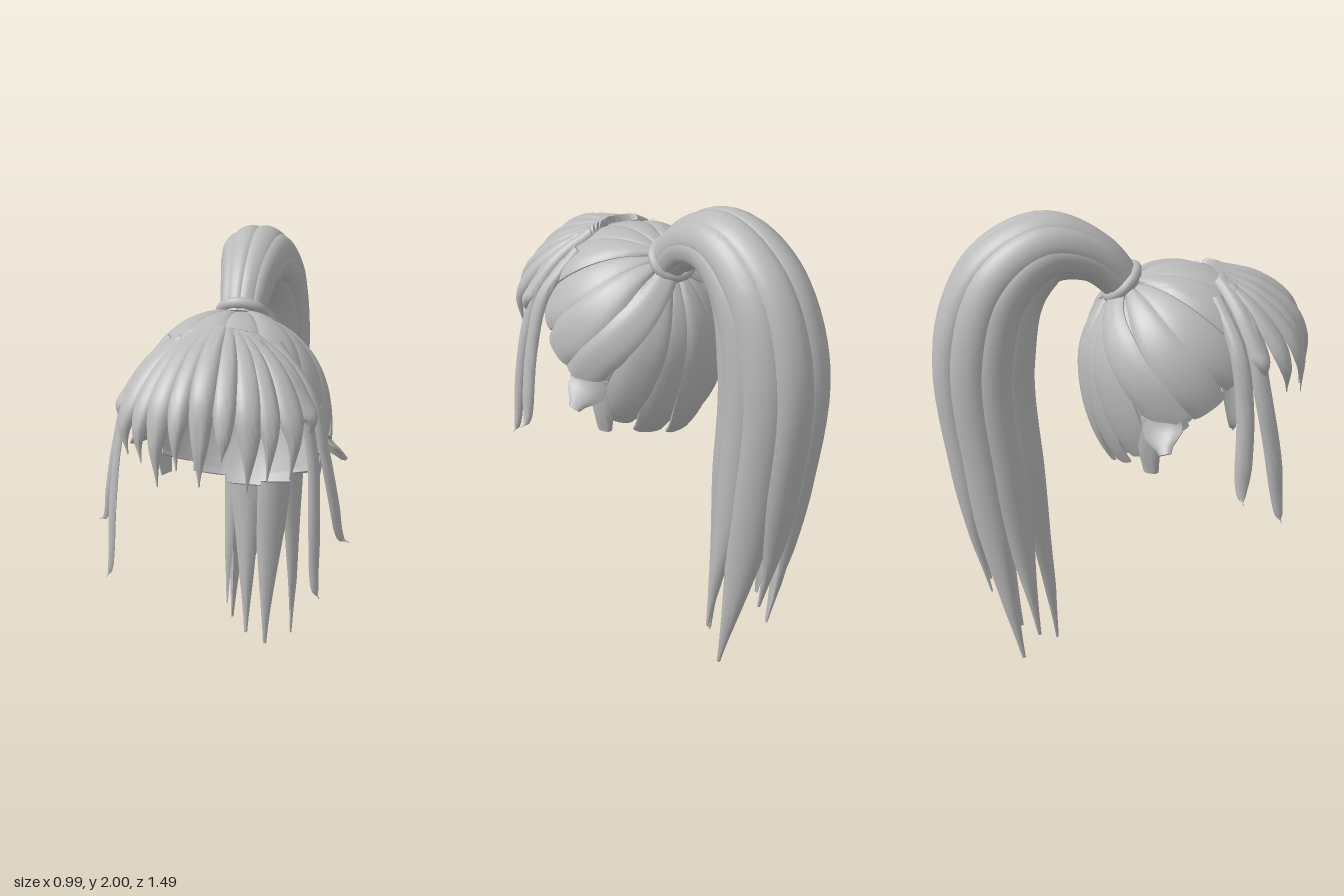
import * as THREE from 'three';
import { toCreasedNormals } from 'three/addons/utils/BufferGeometryUtils.js';

const V = (x, y, z) => new THREE.Vector3(x, y, z);
const lerp = THREE.MathUtils.lerp;
const smooth = THREE.MathUtils.smoothstep;
const wobble = (i) => Math.sin(i * 7.3 + 1.1);

const hair = new THREE.MeshStandardMaterial({ color: 0xbababa, side: THREE.DoubleSide });
hair.name = 'hair grey';

// Sweeps a curved, lens-like section along a path.
// out(p, t): outward direction, half(t): half width, bend: radius of the section's curve
function lock(name, path, out, half, { thick = 0.016, bend = 0.3, steps = 22, across = 8 } = {}) {
  const pos = [], index = [], ring = 2 * (across + 1);
  for (let i = 0; i <= steps; i++) {
    const t = i / steps;
    const p = path(t);
    const tangent = path(Math.min(1, t + 0.01)).sub(path(Math.max(0, t - 0.01))).normalize();
    const o = out(p, t);
    o.addScaledVector(tangent, -o.dot(tangent)).normalize();
    const side = tangent.clone().cross(o);
    const w = half(t);
    const th = Math.min(thick, w * 0.6);
    for (let j = 0; j < ring; j++) {
      const top = j <= across;
      const u = top ? -1 + 2 * j / across : 1 - 2 * (j - across - 1) / across;
      const h = -((u * w) ** 2) / (2 * bend) + (top ? th * (1 - u ** 4) : -th * 0.6);
      const q = p.clone().addScaledVector(side, u * w).addScaledVector(o, h);
      pos.push(q.x, q.y, q.z);
    }
  }
  for (let i = 0; i < steps; i++) for (let j = 0; j < ring; j++) {
    const a = i * ring + j, b = i * ring + (j + 1) % ring;
    index.push(a, b, a + ring, b, b + ring, a + ring);
  }
  const last = steps * ring;
  for (let j = 1; j < ring - 1; j++) {
    index.push(0, j + 1, j, last, last + j, last + j + 1);
  }
  const g = new THREE.BufferGeometry();
  g.setAttribute('position', new THREE.Float32BufferAttribute(pos, 3));
  g.setIndex(index);
  const mesh = new THREE.Mesh(toCreasedNormals(g, 0.7), hair);
  mesh.name = name;
  return mesh;
}

const curve = (points) => {
  const c = new THREE.CatmullRomCurve3(points);
  return (t) => c.getPoint(t);
};

// Head surface, in angles around the root of the ponytail
const C = V(0, 1.38, 0.22);
const T = V(0, 0.83, -0.55).normalize();
const F = V(0, 0.55, 0.83).normalize();
function head(phi, theta, lift = 1) {
  const d = T.clone().multiplyScalar(Math.cos(theta))
    .addScaledVector(F, Math.sin(theta) * Math.cos(phi));
  d.x = Math.sin(theta) * Math.sin(phi);
  return V(d.x * 0.365, d.y * (d.y > 0 ? 0.382 : 0.55), d.z * 0.375).multiplyScalar(lift).add(C);
}
const hemline = (phi) => 1.73 - 0.3 * Math.max(0, Math.cos(phi)) ** 2;
const fromHead = (p) => p.clone().sub(C);

function buildCap() {
  const cap = new THREE.Group();
  cap.name = 'cap';

  // Smooth shell beneath the strands, open below
  const g = new THREE.SphereGeometry(1, 48, 20, 0, Math.PI * 2, 0, 3);
  const uv = g.attributes.uv, pos = g.attributes.position;
  for (let i = 0; i < pos.count; i++) {
    const phi = uv.getX(i) * Math.PI * 2;
    const p = head(phi, (1 - uv.getY(i)) * hemline(phi), 0.97);
    pos.setXYZ(i, p.x, p.y, p.z);
  }
  g.computeVertexNormals();
  const shell = new THREE.Mesh(g, hair);
  shell.name = 'capShell';
  cap.add(shell);

  // Wide combed strands gathered at the tie
  const n = 15;
  for (let i = 0; i < n; i++) {
    const phi = (i + 0.5) / n * Math.PI * 2;
    const end = hemline(phi) + 0.03 + 0.05 * wobble(i);
    const lift = 1 + 0.024 * (i % 2);
    const theta = (t) => lerp(0.12, end, t);
    cap.add(lock('capStrand', (t) => head(phi + 0.12 * Math.sin(t * 3) * Math.sin(phi), theta(t), lift),
      fromHead,
      (t) => 0.39 * Math.sin(theta(t)) * Math.PI / n * (1.2 - 0.3 * smooth(t, 0.75, 1)),
      { bend: 0.39, thick: 0.012 }));
  }

  for (const s of [1, -1]) {
    // Raised band swept from the tie to behind the ear
    cap.add(lock('sweptBand', (t) => head(s * lerp(2.25, 1.85, t), lerp(0.2, 1.62, t), 1.045),
      fromHead, (t) => lerp(0.045, 0.075, smooth(t, 0, 0.5)), { bend: 0.39, thick: 0.012 }));
    // Flicked ends behind the ears
    cap.add(lock('earFlick', curve([V(s * 0.34, 1.36, 0.1), V(s * 0.365, 1.26, 0.1), V(s * 0.435, 1.18, 0.1)]),
      fromHead, (t) => lerp(0.06, 0.095, t) * (1 - 0.75 * smooth(t, 0.55, 1)), { thick: 0.01, steps: 8 }));
    cap.add(lock('napeFlick', curve([V(s * 0.34, 1.28, 0.08), V(s * 0.325, 1.15, 0.06), V(s * 0.31, 1.04, 0.07)]),
      fromHead, (t) => 0.06 - 0.03 * t, { thick: 0.01, steps: 8 }));
  }
  return cap;
}

function buildBangs() {
  const bangs = new THREE.Group();
  bangs.name = 'bangs';
  // Tips as x, y, z and half width; all but the middle one are mirrored
  const tips = [
    [0, 1.28, 0.735, 0.045], [0.08, 1.38, 0.735, 0.04], [0.16, 1.28, 0.7, 0.05],
    [0.225, 1.33, 0.67, 0.042], [0.295, 1.32, 0.6, 0.05], [0.335, 1.4, 0.5, 0.046],
  ];
  tips.forEach(([x, y, z, w], i) => {
    for (const s of i ? [1, -1] : [1]) {
      const X = x * s, drop = 0.025 * wobble(i + (s > 0 ? 0 : 9));
      const path = curve([
        V(X * 0.32, 1.76 - 0.05 * x, 0.37),
        V(X * 0.72, 1.72 - 0.2 * x, lerp(0.37, z, 0.45)),
        V(X * 0.98, 1.61 - 0.25 * x, lerp(0.37, z, 0.84)),
        V(X * 1.05, lerp(1.55, y, 0.45), z - 0.01),
        V(X, y + drop, z),
      ]);
      bangs.add(lock('bang', path, fromHead,
        (t) => lerp(0.032, w, smooth(t, 0, 0.45)) * (1 - 0.96 * smooth(t, 0.5, 1.04)),
        { bend: 0.12, thick: 0.016 }));
    }
  });

  // Long locks framing the face
  for (const s of [1, -1]) {
    const out = (p) => V(p.x, 0.1, (p.z - 0.3) * 0.4);
    const width = (t) => lerp(0.024, 0.035, smooth(t, 0, 0.3)) * (1 - 0.93 * smooth(t, 0.6, 0.95));
    bangs.add(lock('frontSideLock', curve([
      V(s * 0.14, 1.73, 0.4), V(s * 0.29, 1.6, 0.45), V(s * 0.36, 1.38, 0.49),
      V(s * 0.385, 1.1, 0.545), V(s * 0.395, 0.85, 0.578), V(s * 0.41, 0.82, 0.585),
    ]), out, width, { thick: 0.012, bend: 0.08, steps: 30 }));
    bangs.add(lock('rearSideLock', curve([
      V(s * 0.2, 1.71, 0.33), V(s * 0.34, 1.54, 0.39), V(s * 0.4, 1.32, 0.415),
      V(s * 0.44, 1.12, 0.41), V(s * 0.465, 0.985, 0.4), V(s * 0.495, 0.97, 0.4),
    ]), out, width, { thick: 0.012, bend: 0.08, steps: 30 }));
  }
  return bangs;
}

function buildPonytail() {
  const tail = new THREE.Group();
  tail.name = 'ponytail';

  // Stations: z, y, half depth, half width
  const stations = [
    [0.02, 1.7, 0.055, 0.065], [-0.11, 1.825, 0.075, 0.09], [-0.29, 1.865, 0.12, 0.13],
    [-0.455, 1.74, 0.165, 0.16], [-0.54, 1.45, 0.195, 0.17], [-0.515, 0.97, 0.185, 0.165],
    [-0.475, 0.57, 0.15, 0.16], [-0.4, 0.01, 0.11, 0.165],
  ];
  const centre = curve(stations.map(([z, y]) => V(0, y, z)));
  const size = curve(stations.map(([, , d, w]) => V(d, w, 0)));
  // Offset from the centre line; psi = 0 is the outer side of the arch
  const around = (t, psi) => {
    const tan = centre(Math.min(1, t + 0.01)).sub(centre(Math.max(0, t - 0.01))).normalize();
    const k = size(t);
    return V(1, 0, 0).cross(tan).multiplyScalar(k.x * Math.cos(psi))
      .add(V(k.y * Math.sin(psi), 0, 0));
  };

  // Strands: angle at the root and at the tip, path end, width factor
  const strands = [
    [0.4, 0.3, 0.91, 0.9], [1.1, 1.1, 1, 1], [1.8, 1.9, 0.96, 0.95], [2.5, 2.85, 1, 1],
  ];
  strands.forEach(([a, b, end, f], i) => {
    for (const s of [1, -1]) {
      const stop = end - (s > 0 ? 0 : 0.012 * (i % 2));
      const offset = (t) => around(t * stop, s * lerp(a, b, smooth(t, 0.65, 1)));
      tail.add(lock('tailStrand', (t) => centre(t * stop).add(offset(t)),
        (p, t) => offset(t),
        (t) => (0.018 + size(t * stop).y * 0.4) * f * (1 - 0.97 * smooth(t, 0.78, 1.04)),
        { thick: 0.02, bend: 0.14, steps: 44 }));
    }
  });

  // Band holding the tail
  const tie = new THREE.Mesh(new THREE.TorusGeometry(0.075, 0.023, 12, 36), hair);
  tie.name = 'hairTie';
  tie.position.set(0, 1.72, 0);
  tie.rotation.x = -Math.PI * 0.75;
  tie.scale.x = 1.08;
  tail.add(tie);
  return tail;
}

export function createModel() {
  const model = new THREE.Group();
  model.name = 'ponytailHair';
  model.add(buildCap(), buildBangs(), buildPonytail());
  return model;
}
